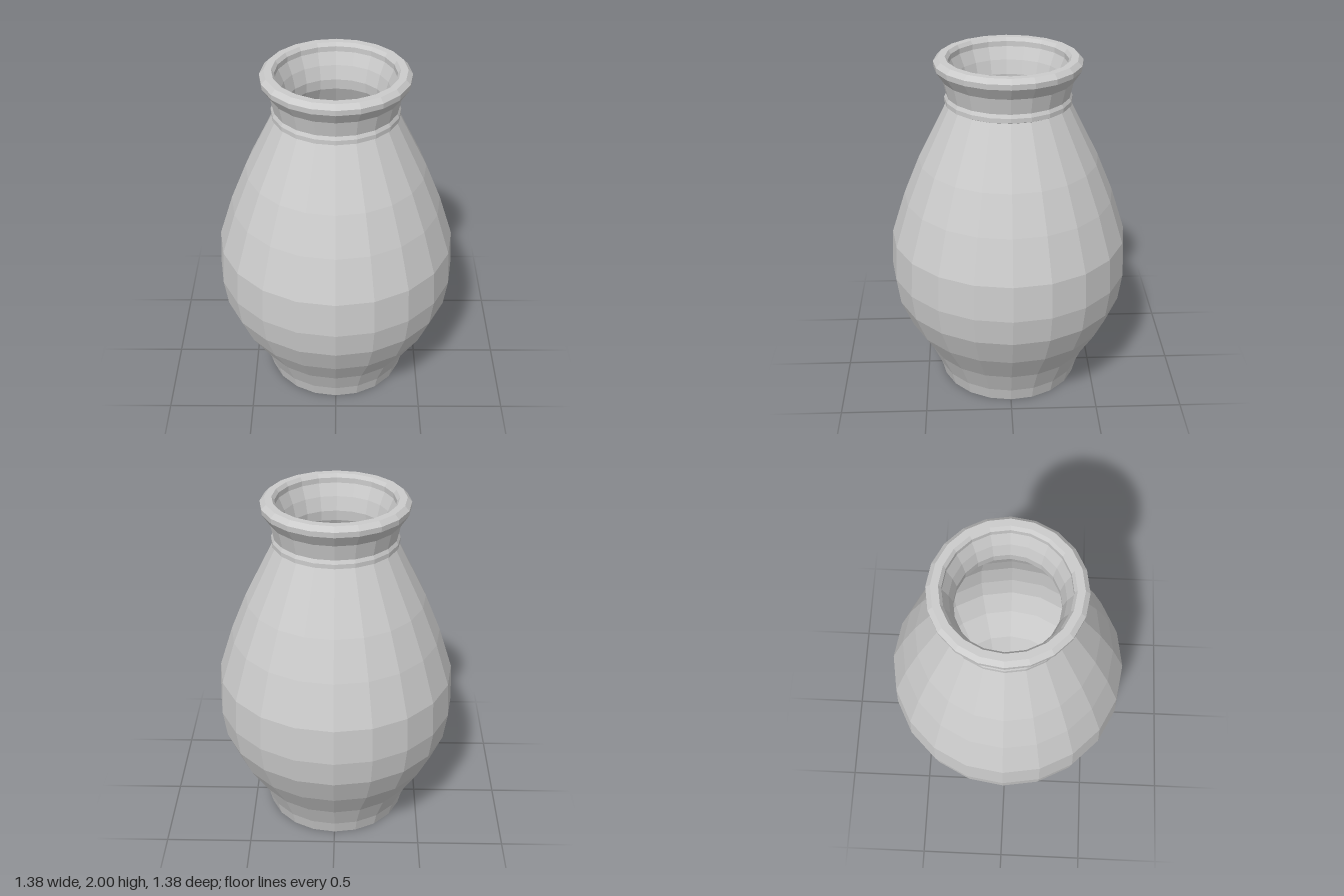
import * as THREE from 'three';

const SIDES = 20;

// Faceted lathe band; profile points are [radius, height], traced so faces point away from the clay
function turned(name, profile) {
  const points = profile.map(([r, y]) => new THREE.Vector2(r, y));
  const material = new THREE.MeshStandardMaterial({ color: 0xcccccc, flatShading: true });
  const mesh = new THREE.Mesh(new THREE.LatheGeometry(points, SIDES), material);
  mesh.name = name;
  return mesh;
}

export function createModel() {
  const vase = new THREE.Group();
  vase.name = 'vase';

  // Flat base and swelling outer wall
  vase.add(turned('base', [[0, 0], [0.41, 0]]));
  vase.add(turned('body', [
    [0.41, 0], [0.43, 0.08], [0.49, 0.22], [0.6, 0.4], [0.67, 0.57], [0.692, 0.73],
    [0.68, 0.94], [0.6, 1.19], [0.51, 1.41], [0.42, 1.59], [0.345, 1.74],
  ]));

  // Raised band at the foot of the neck
  vase.add(turned('neckRing', [
    [0.345, 1.74], [0.355, 1.745], [0.355, 1.77], [0.345, 1.79],
  ]));

  // Flared neck and chamfered rim
  vase.add(turned('neck', [[0.345, 1.79], [0.365, 1.88], [0.408, 1.945]]));
  vase.add(turned('rim', [
    [0.408, 1.945], [0.41, 1.975], [0.385, 2], [0.345, 2], [0.33, 1.98],
  ]));

  // Hollow inside, from the mouth down to the floor
  vase.add(turned('interior', [
    [0.33, 1.98], [0.33, 1.95], [0.3, 1.88], [0.28, 1.8], [0.285, 1.74], [0.36, 1.58],
    [0.45, 1.4], [0.54, 1.18], [0.615, 0.93], [0.625, 0.73], [0.605, 0.58],
    [0.54, 0.42], [0.43, 0.24], [0.37, 0.08],
  ]));
  vase.add(turned('floor', [[0.37, 0.08], [0, 0.08]]));

  return vase;
}
